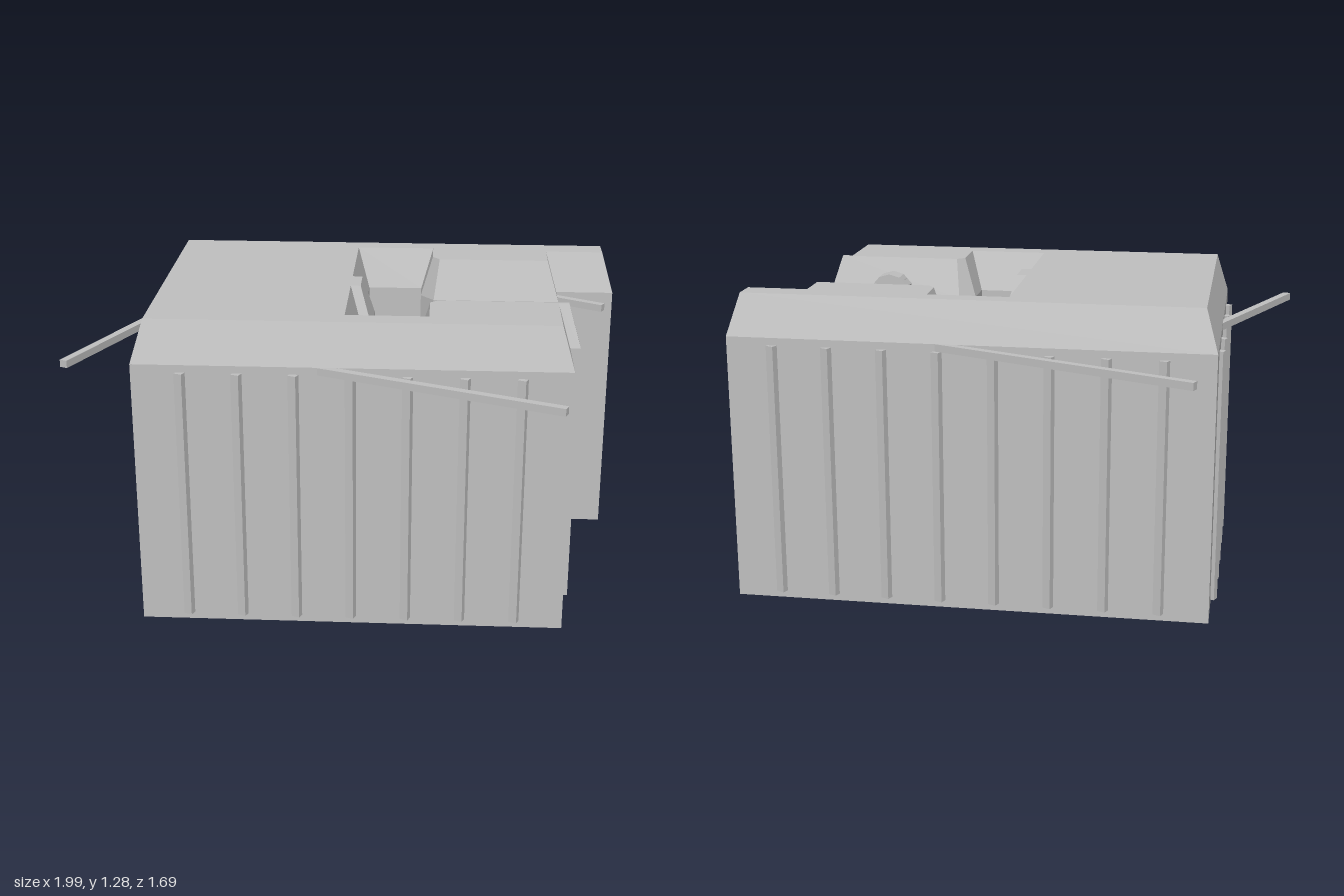
import * as THREE from 'three';

const TURN = 0.2; // the building stands turned on its plot
const WALL_TOP = 1.11, ROOF_TOP = 1.28, INSET = 0.05;

// U-shaped plan in the building's own axes, clockwise seen from above
const PLAN = [
  [-0.862, -0.6], [1.092, -0.6], [1.092, -0.397], [0.845, -0.397], [0.845, -0.248],
  [0.304, -0.248], [0.247, -0.315], [0.247, -0.42], [0.015, -0.42], [0.015, -0.072],
  [0.056, -0.072], [0.056, 0.162], [0.015, 0.162], [0.015, 0.449], [0.244, 0.449],
  [0.244, 0.299], [0.307, 0.243], [0.897, 0.243], [0.897, 0.355], [0.855, 0.355],
  [0.855, 0.638], [-0.862, 0.638],
];

// Moves every side of the plan inward by d
function insetPlan(plan, d) {
  const n = plan.length;
  const normal = (p, q) => {
    const l = Math.hypot(q[0] - p[0], q[1] - p[1]);
    return [-(q[1] - p[1]) / l, (q[0] - p[0]) / l];
  };
  return plan.map((p, i) => {
    const a = normal(plan[(i + n - 1) % n], p), b = normal(p, plan[(i + 1) % n]);
    const k = d / (1 + a[0] * b[0] + a[1] * b[1]);
    return [p[0] + (a[0] + b[0]) * k, p[1] + (a[1] + b[1]) * k];
  });
}

// Flat-faced band between two plan rings at two heights
function band(low, y0, high, y1) {
  const pos = [];
  low.forEach((p, i) => {
    const j = (i + 1) % low.length;
    const a = [p[0], y0, p[1]], b = [high[i][0], y1, high[i][1]];
    const c = [high[j][0], y1, high[j][1]], d = [low[j][0], y0, low[j][1]];
    pos.push(...a, ...b, ...c, ...a, ...c, ...d);
  });
  const g = new THREE.BufferGeometry();
  g.setAttribute('position', new THREE.Float32BufferAttribute(pos, 3));
  g.computeVertexNormals();
  return g;
}

export function createModel() {
  const model = new THREE.Group();
  model.name = 'courtyardBuilding';
  const stone = new THREE.MeshStandardMaterial({ color: 0xbfbfbf, side: THREE.DoubleSide });
  stone.name = 'plain grey';

  const add = (parent, name, geometry, x = 0, y = 0, z = 0, ry = 0) => {
    const m = new THREE.Mesh(geometry, stone);
    m.name = name;
    m.position.set(x, y, z);
    m.rotation.y = ry;
    parent.add(m);
    return m;
  };
  const box = (parent, name, w, h, d, x, y, z, ry) =>
    add(parent, name, new THREE.BoxGeometry(w, h, d), x, y, z, ry);

  const house = new THREE.Group();
  house.name = 'house';
  house.rotation.y = TURN;
  model.add(house);

  // Shell: walls, sloping eaves and flat roof, open underneath
  const top = insetPlan(PLAN, INSET);
  add(house, 'walls', band(PLAN, 0, PLAN, WALL_TOP));
  add(house, 'slopingEaves', band(PLAN, WALL_TOP, top, ROOF_TOP));
  const roof = new THREE.ShapeGeometry(
    new THREE.Shape(top.map(([x, z]) => new THREE.Vector2(x, -z))));
  roof.rotateX(-Math.PI / 2);
  add(house, 'flatRoof', roof, 0, ROOF_TOP, 0);

  // Upright ribs along the walls, set askew to them
  const rib = (x, z) => box(house, 'wallRib', 0.034, 1.05, 0.03, x, 0.555, z, -2 * TURN);
  for (let i = 0; i < 8; i++) rib(-0.66 + i * 0.2233, -0.605);
  for (let i = 0; i < 7; i++) rib(-0.668 + i * 0.2212, 0.643);
  for (let i = 0; i < 5; i++) rib(-0.867, -0.41 + i * 0.214);
  for (const x of [0.381, 0.604]) rib(x, -0.243);
  rib(0.707, 0.238);

  // Long thin beams jutting out under the eaves
  const beams = [
    [-0.98, -0.832, 0.14, -0.615], [-0.83, 0.07, -0.985, 0.82],
    [0.0, 0.64, 0.985, 0.824], [0.325, 0.036, 0.72, 0.112],
    [0.4, -0.352, 0.8, -0.275], [0.74, -0.503, 0.97, -0.43],
  ];
  for (const [x0, z0, x1, z1] of beams) {
    const dx = x1 - x0, dz = z1 - z0;
    box(model, 'eavesBeam', Math.hypot(dx, dz), 0.03, 0.032,
      (x0 + x1) / 2, 1.095, (z0 + z1) / 2, -Math.atan2(dz, dx));
  }

  // Tall portal on the courtyard side, local +z pointing out of the wall
  const portal = new THREE.Group();
  portal.name = 'portal';
  portal.position.set(0.603, 0, 0.243);
  portal.rotation.y = Math.PI;
  house.add(portal);
  box(portal, 'portalBack', 0.11, 1.1, 0.06, 0, 0.55, 0.02);
  for (const s of [-1, 1]) {
    box(portal, 'portalJamb', 0.03, 1.1, 0.09, s * 0.066, 0.55, 0.035);
    box(portal, 'portalPost', 0.035, 1.03, 0.035, s * 0.066, 0.57, 0.098);
    box(portal, 'portalFoot', 0.055, 0.06, 0.075, s * 0.062, 0.03, 0.107);
  }
  box(portal, 'portalLintel', 0.18, 0.06, 0.075, 0, 1.11, 0.107);

  // Faceted arch with a round opening above the lintel
  const arch = new THREE.Shape([
    [-0.08, 1.08], [0.08, 1.08], [0.08, 1.175], [0.045, 1.215], [0, 1.228],
    [-0.045, 1.215], [-0.08, 1.175],
  ].map(([x, y]) => new THREE.Vector2(x, y)));
  const hole = new THREE.Path();
  hole.absarc(0, 1.145, 0.052, 0, Math.PI * 2, true);
  arch.holes.push(hole);
  add(portal, 'portalArch',
    new THREE.ExtrudeGeometry(arch, { depth: 0.085, bevelEnabled: false, curveSegments: 8 }));
  box(portal, 'archBack', 0.12, 0.12, 0.04, 0, 1.14, 0.03);

  return model;
}
